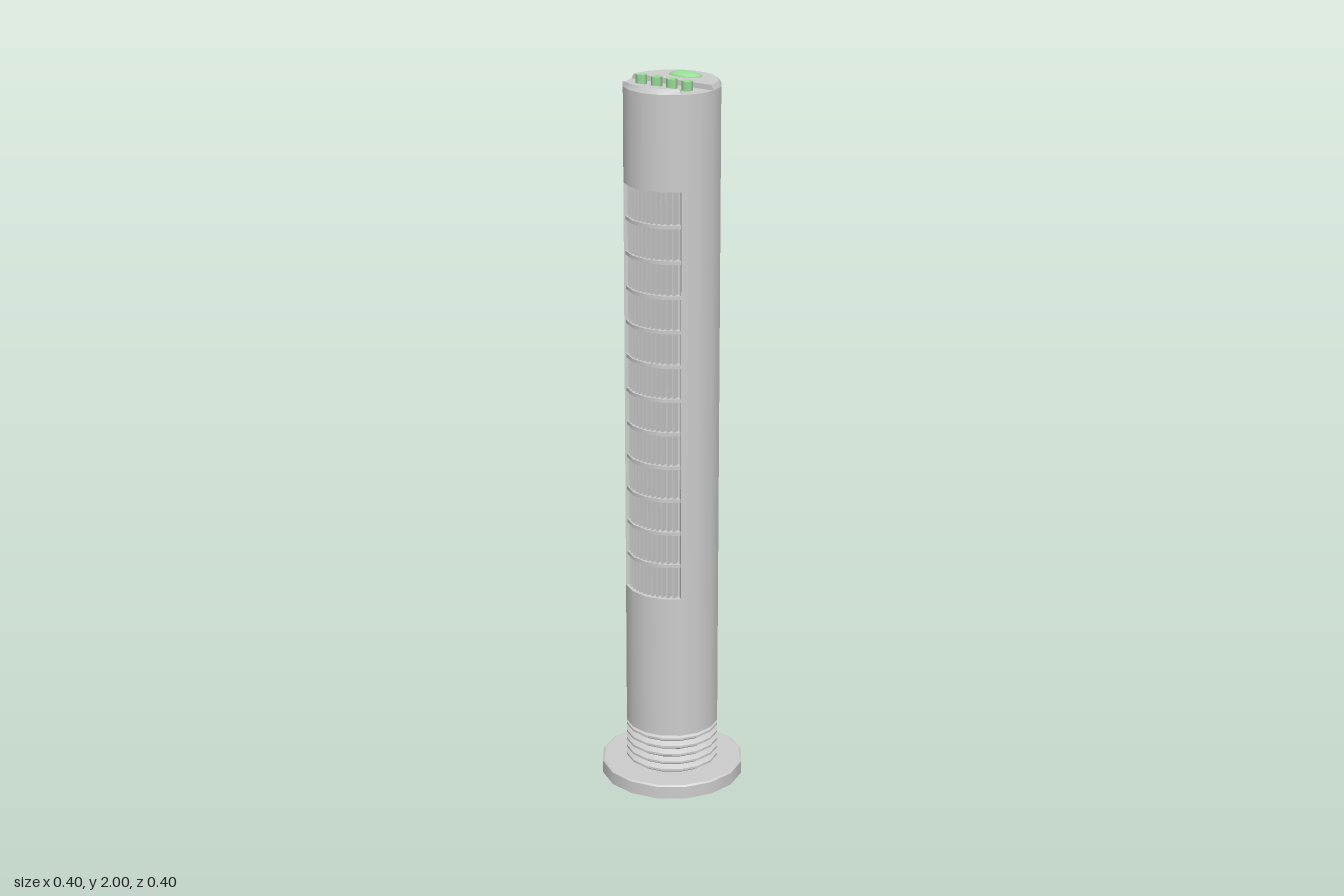
import * as THREE from 'three';
import { toCreasedNormals } from 'three/addons/utils/BufferGeometryUtils.js';

const SIDES = 16, R = 0.13, Q = Math.PI / 4;
const WIN_LOW = 0.575, WIN_HIGH = 1.72, FLOOR = 1.975;

export function createModel() {
  const group = new THREE.Group();
  group.name = 'towerFan';
  const grey = new THREE.MeshStandardMaterial({ color: 0xcccccc });
  const greyThin = new THREE.MeshStandardMaterial({ color: 0xcccccc, side: THREE.DoubleSide });
  const green = new THREE.MeshStandardMaterial({ color: 0x99dd99 });

  function add(name, geo, x = 0, y = 0, z = 0, mat = grey, parent = group) {
    const mesh = new THREE.Mesh(geo, mat);
    mesh.name = name;
    mesh.position.set(x, y, z);
    parent.add(mesh);
    return mesh;
  }
  // Upright drum or sector between two heights
  function drum(name, rTop, rBottom, y0, y1, sides = SIDES, open = false, start = 0, sweep = Math.PI * 2, mat = grey, parent = group) {
    const geo = new THREE.CylinderGeometry(rTop, rBottom, y1 - y0, sides, 1, open, start, sweep);
    return add(name, geo, 0, (y0 + y1) / 2, 0, mat, parent);
  }

  // Base plate with a narrow bevel
  drum('basePlate', 0.2, 0.2, 0, 0.036);
  drum('baseBevel', 0.195, 0.2, 0.036, 0.04);

  // Ribbed neck
  const profile = [];
  const ribs = 5, pitch = 0.12 / ribs;
  for (let i = 0; i < ribs; i++) {
    const y = 0.04 + i * pitch;
    profile.push(new THREE.Vector2(0.115, y), new THREE.Vector2(R, y + pitch * 0.4), new THREE.Vector2(R, y + pitch * 0.65));
  }
  profile.push(new THREE.Vector2(0.115, 0.16));
  add('ribbedNeck', toCreasedNormals(new THREE.LatheGeometry(profile, SIDES), 0.5));

  // Body: closed below and above the grille, open at the front between
  drum('lowerBody', R, R, 0.16, WIN_LOW);
  drum('middleBody', R, R, WIN_LOW, WIN_HIGH, 12, true, Q, Math.PI * 1.5, greyThin);
  drum('upperBody', R, R, WIN_HIGH, FLOOR);

  // Recessed front grille
  const grille = new THREE.Group();
  grille.name = 'grille';
  group.add(grille);
  const height = WIN_HIGH - WIN_LOW, midY = (WIN_LOW + WIN_HIGH) / 2;
  drum('grilleBack', 0.106, 0.106, WIN_LOW, WIN_HIGH, 4, true, -Q, Q * 2, greyThin, grille);
  for (const side of [-1, 1]) {
    const r = 0.114;
    const jamb = add('grilleJamb', new THREE.PlaneGeometry(0.032, height), side * r * Math.sin(Q), midY, r * Math.cos(Q), greyThin, grille);
    jamb.rotation.y = side * Q - Math.PI / 2;
  }
  const slats = 13;
  for (let i = 0; i < slats; i++) {
    const x = -0.084 + 0.168 * i / (slats - 1);
    const z = Math.sqrt(0.119 ** 2 - x * x);
    add('verticalSlat', new THREE.BoxGeometry(0.006, height, 0.018), x, midY, z - 0.009, grey, grille);
  }
  const rows = 12;
  for (let i = 1; i < rows; i++) {
    const y = WIN_LOW + height * i / rows;
    drum('horizontalSlat', 0.125, 0.125, y - 0.005, y + 0.005, 4, false, -Q, Q * 2, grey, grille);
  }

  // Raised rear cap and front lip: bevelled discs cut straight across
  function cap(name, limit) {
    const geo = new THREE.CylinderGeometry(0.122, R, 0.014, SIDES);
    const pos = geo.attributes.position;
    const v = new THREE.Vector3();
    for (let i = 0; i < pos.count; i++) {
      limit(v.fromBufferAttribute(pos, i));
      pos.setXYZ(i, v.x, v.y, v.z);
    }
    add(name, toCreasedNormals(geo, 0.5), 0, FLOOR + 0.007, 0);
  }
  cap('rearCap', v => { v.z = Math.min(v.z, 0); });
  const chord = R * Math.cos(Q);
  cap('frontLip', v => {
    v.z = Math.max(v.z, chord);
    v.x = THREE.MathUtils.clamp(v.x, -chord, chord);
  });

  // Control buttons and oval dome
  for (let i = 0; i < 4; i++) {
    add('button', new THREE.CylinderGeometry(0.015, 0.015, 0.025, 6), -0.072 + 0.048 * i, FLOOR + 0.0125, 0.036, green);
  }
  const dome = add('ovalDome', new THREE.SphereGeometry(1, 12, 8), 0, 1.988, -0.062, green);
  dome.scale.set(0.05, 0.012, 0.029);

  return group;
}
